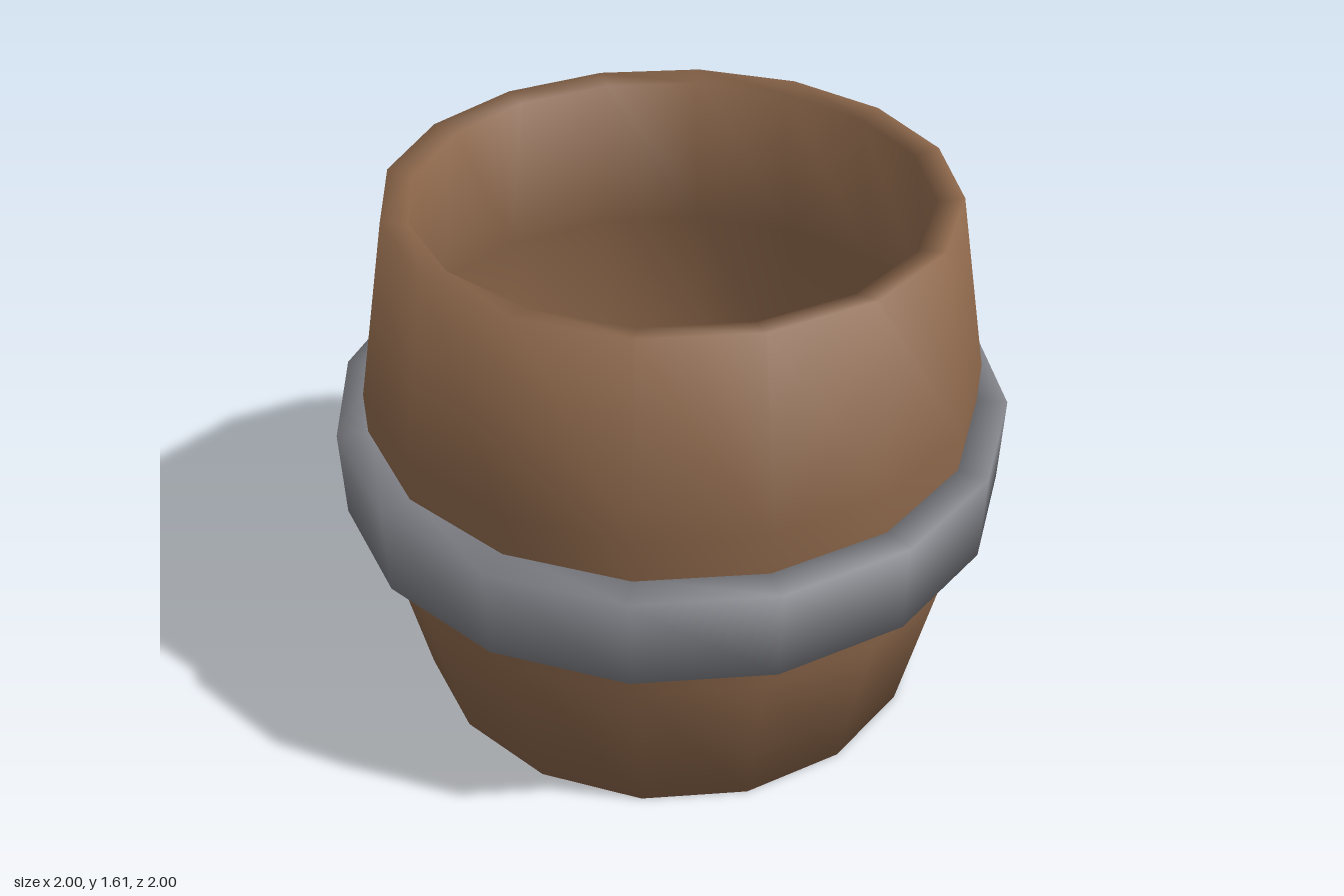
import * as THREE from 'three';

const SIDES = 16;

// Revolve a profile, with normals that blend evenly across each profile corner
function revolve(profile) {
  const points = profile.map(([r, y]) => new THREE.Vector2(r, y));
  const geometry = new THREE.LatheGeometry(points, SIDES);
  const closed = points[0].equals(points.at(-1));
  const edges = points.slice(1).map((p, i) =>
    new THREE.Vector2(p.y - points[i].y, points[i].x - p.x).normalize());
  const normals = geometry.attributes.normal;
  points.forEach((p, j) => {
    const before = edges[j - 1] ?? (closed ? edges.at(-1) : edges[0]);
    const after = edges[j] ?? (closed ? edges[0] : edges.at(-1));
    const n = before.clone().add(after).normalize();
    for (let i = 0; i <= SIDES; i++) {
      const a = (i / SIDES) * Math.PI * 2;
      normals.setXYZ(i * points.length + j, n.x * Math.sin(a), n.y, n.x * Math.cos(a));
    }
  });
  return geometry;
}

export function createModel() {
  const wood = new THREE.MeshStandardMaterial({ name: 'brown wood', color: 0x8a6549 });
  const metal = new THREE.MeshStandardMaterial({ name: 'grey metal', color: 0x808187 });
  const model = new THREE.Group();
  model.name = 'barrel';

  // Hollow body: base, bulging outer wall, rim, inner wall and floor
  const body = new THREE.Mesh(revolve([
    [0, 0], [0.804, 0], [0.91, 0.535], [0.91, 1.07], [0.804, 1.605],
    [0.73, 1.59], [0.835, 1.06], [0.835, 0.545], [0.73, 0.07], [0, 0.07],
  ]), wood);
  body.name = 'barrelBody';

  // Thick metal band around the middle
  const hoop = new THREE.Mesh(revolve([
    [0.9, 0.67], [1, 0.67], [1, 0.943], [0.9, 0.943], [0.9, 0.67],
  ]), metal);
  hoop.name = 'metalHoop';

  model.add(body, hoop);
  return model;
}
